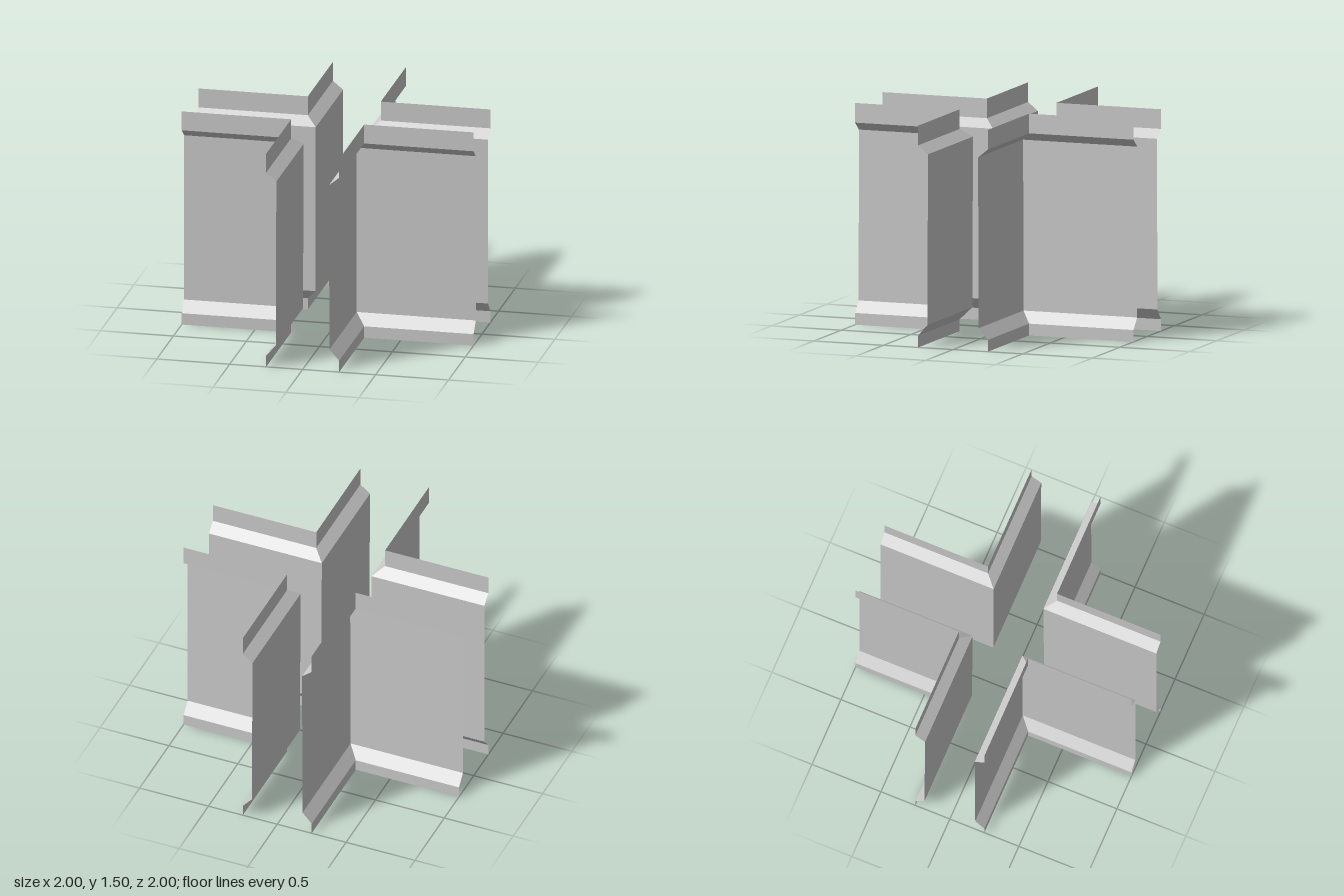
import * as THREE from 'three';

// Sheet section: [distance of the wall from the centre plane, height]
const PROFILE = [
  [0.25, 0], [0.25, 0.08], [0.184, 0.155],
  [0.18, 1.31], [0.25, 1.367], [0.25, 1.5],
];
const REACH = 1;

// L-shaped folded sheet: the section swept along two arms with a mitred corner
function cornerGeometry() {
  const rows = PROFILE.map(([d, y]) => [[d, y, REACH], [d, y, d], [REACH, y, d]]);
  const positions = [];
  for (let i = 0; i < rows.length - 1; i++) {
    for (let j = 0; j < 2; j++) {
      const a = rows[i][j], b = rows[i][j + 1];
      const c = rows[i + 1][j + 1], d = rows[i + 1][j];
      positions.push(...a, ...b, ...c, ...a, ...c, ...d);
    }
  }
  const geometry = new THREE.BufferGeometry();
  geometry.setAttribute('position', new THREE.Float32BufferAttribute(positions, 3));
  geometry.computeVertexNormals();
  return geometry;
}

export function createModel() {
  const model = new THREE.Group();
  model.name = 'crossroadWalls';
  const material = new THREE.MeshStandardMaterial({
    color: 0xcccccc, flatShading: true, side: THREE.DoubleSide,
  });
  const geometry = cornerGeometry();

  // One corner wall per quadrant
  const names = ['frontLeftCornerWall', 'backLeftCornerWall', 'backRightCornerWall', 'frontRightCornerWall'];
  names.forEach((name, i) => {
    const wall = new THREE.Mesh(geometry, material);
    wall.name = name;
    wall.rotation.y = i * Math.PI / 2;
    model.add(wall);
  });
  return model;
}
